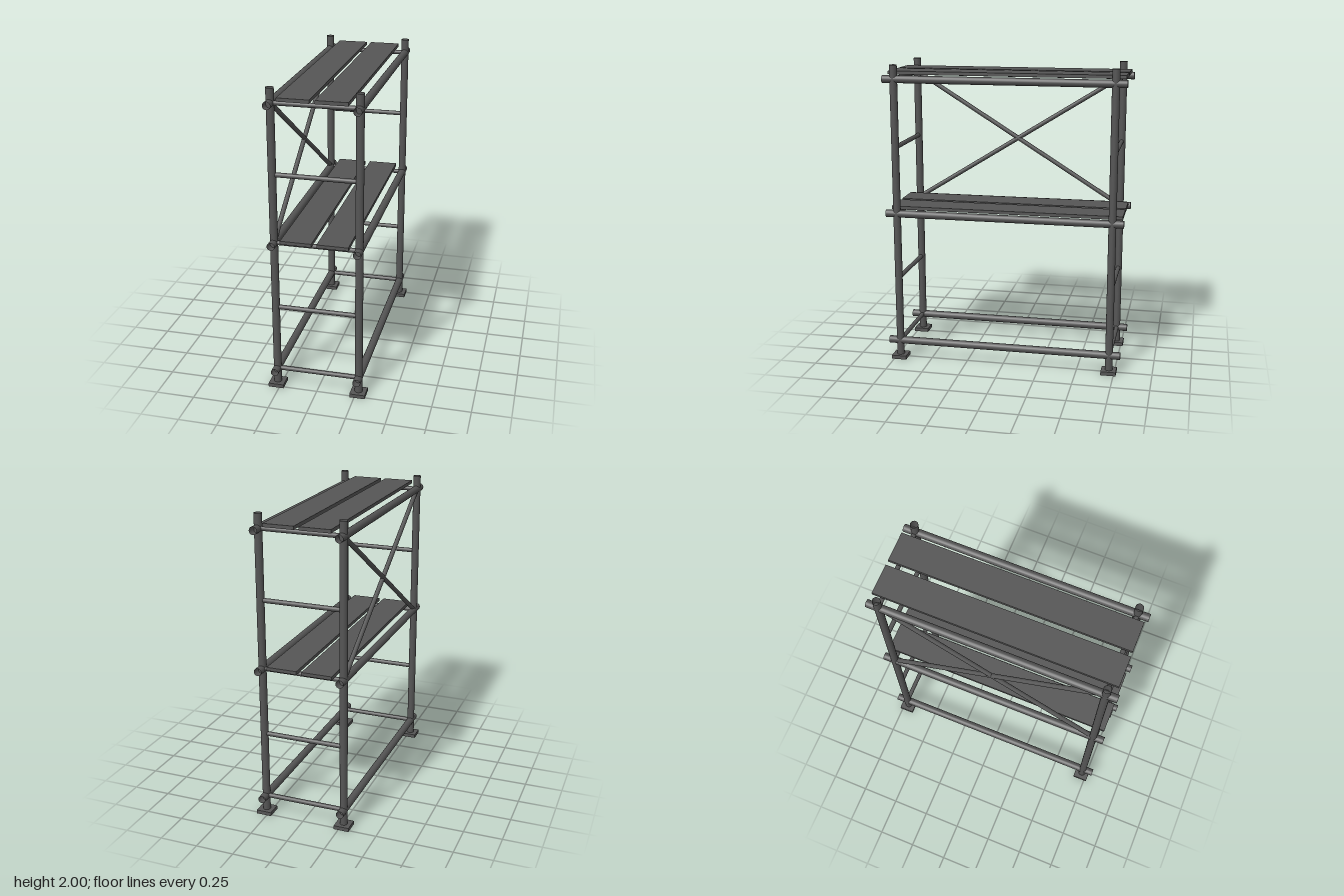
import * as THREE from 'three';

const X = 0.27, Z = 0.716;            // post centre lines
const LEVELS = [0.124, 1.016, 1.907]; // ledger heights
const THICK = 0.025, THIN = 0.015;    // tube radii

export function createModel() {
  const model = new THREE.Group();
  model.name = 'scaffoldTower';
  const steel = new THREE.MeshStandardMaterial({ color: 0x555555, side: THREE.DoubleSide });
  const solid = new THREE.MeshStandardMaterial({ color: 0x555555 });

  // Open steel tube between two points
  function tube(name, a, b, radius) {
    const from = new THREE.Vector3(...a), to = new THREE.Vector3(...b);
    const dir = to.clone().sub(from);
    const mesh = new THREE.Mesh(
      new THREE.CylinderGeometry(radius, radius, dir.length(), 20, 1, true), steel);
    mesh.position.copy(from).add(to).multiplyScalar(0.5);
    mesh.quaternion.setFromUnitVectors(new THREE.Vector3(0, 1, 0), dir.normalize());
    mesh.name = name;
    model.add(mesh);
  }

  function box(name, size, position) {
    const mesh = new THREE.Mesh(new THREE.BoxGeometry(...size), solid);
    mesh.position.set(...position);
    mesh.name = name;
    model.add(mesh);
  }

  // Posts with square base plates
  for (const x of [-X, X]) {
    for (const z of [-Z, Z]) {
      tube('post', [x, 0.01, z], [x, 2, z], THICK);
      box('basePlate', [0.1, 0.025, 0.1], [x, 0.0125, z]);
    }
    // Long ledgers, running past the posts
    for (const y of LEVELS) tube('ledger', [x, y, -0.79], [x, y, 0.79], THICK);
  }

  // Ladder rungs on both end frames
  for (const z of [-Z, Z]) {
    for (let i = 0; i < 5; i++) {
      const y = 0.124 + i * 0.4458;
      tube('rung', [-X, y, z], [X, y, z], THIN);
    }
  }

  // Crossed braces on one long side, upper bay only
  for (const s of [-1, 1]) {
    tube('diagonalBrace', [-X, LEVELS[1], -s * Z], [-X, LEVELS[2], s * Z], THIN);
  }

  // Two planks on each deck
  for (const y of [1.042, 1.943]) {
    for (const x of [-0.117, 0.114]) box('deckPlank', [0.198, 0.022, 1.548], [x, y, -0.003]);
  }

  return model;
}
